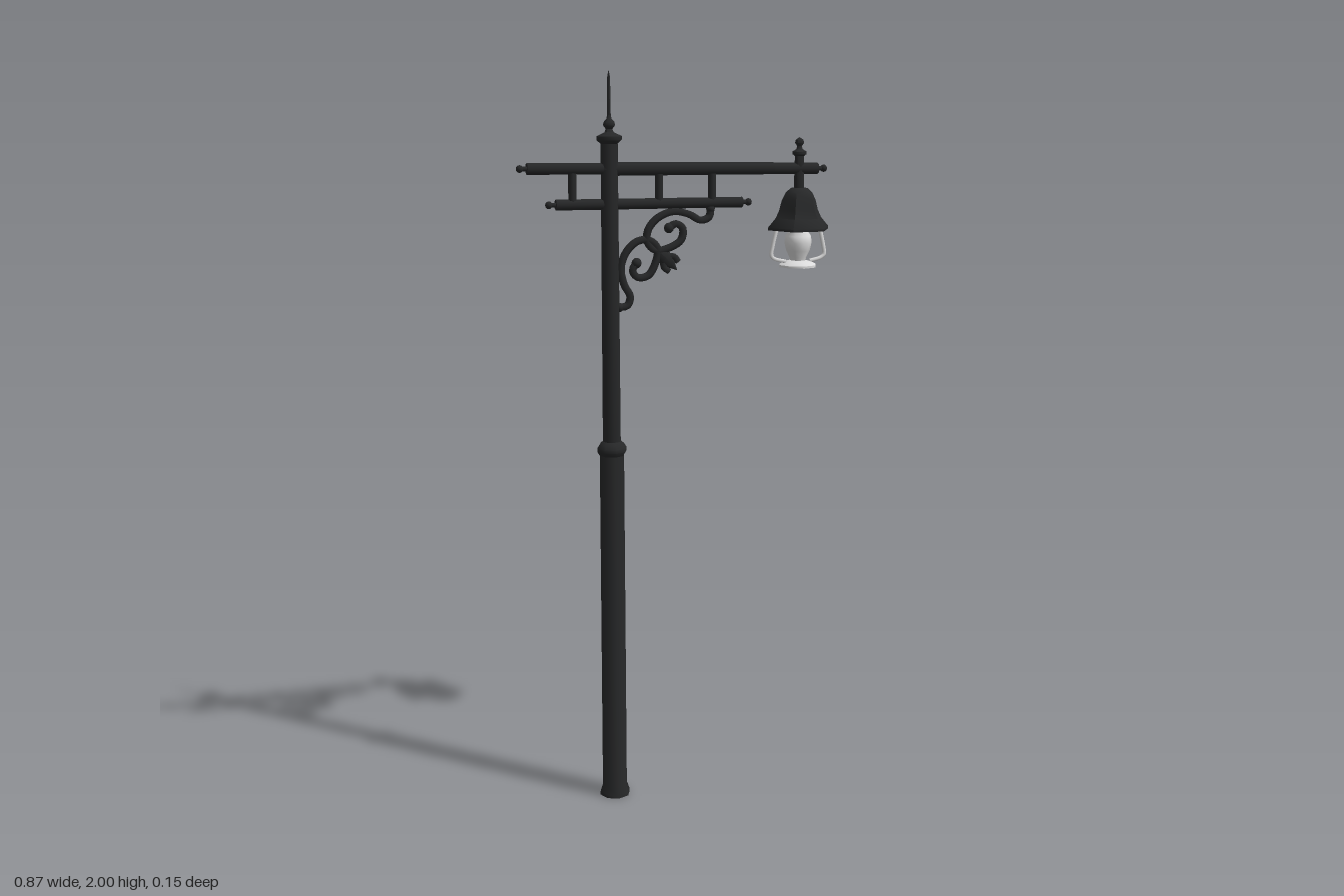
import * as THREE from 'three';
import { toCreasedNormals } from 'three/addons/utils/BufferGeometryUtils.js';

const iron = new THREE.MeshStandardMaterial({ color: 0x262728 });
iron.name = 'dark iron';
const glass = new THREE.MeshStandardMaterial({ color: 0xdcdcdc });
glass.name = 'pale glass';

const POLE_X = -0.185, LAMP_X = 0.345;

function add(parent, name, geometry, material = iron) {
  const mesh = new THREE.Mesh(geometry, material);
  mesh.name = name;
  parent.add(mesh);
  return mesh;
}

// Turned part from [radius, height] pairs, listed bottom to top
function turned(profile, sides, start = 0) {
  const points = profile.map(([r, y]) => new THREE.Vector2(r, y));
  return toCreasedNormals(new THREE.LatheGeometry(points, sides, start), 0.9);
}

// Straight tapered rod between two points
function rod(a, b, ra, rb, sides = 8) {
  const dir = b.clone().sub(a);
  const geo = new THREE.CylinderGeometry(rb, ra, dir.length(), sides);
  geo.applyQuaternion(new THREE.Quaternion().setFromUnitVectors(
    new THREE.Vector3(0, 1, 0), dir.normalize()));
  const mid = a.clone().add(b).multiplyScalar(0.5);
  return geo.translate(mid.x, mid.y, mid.z);
}

const at = (x, y, z = 0) => new THREE.Vector3(x, y, z);

// Crossbar with a small neck and ball at each end
function crossbar(parent, name, a, b, ra, rb) {
  const bar = new THREE.Group();
  bar.name = name;
  parent.add(bar);
  add(bar, 'bar', rod(a, b, ra, rb));
  for (const [end, sign] of [[a, -1], [b, 1]]) {
    add(bar, 'endNeck', rod(end, at(end.x + sign * 0.016, end.y), 0.006, 0.006));
    const ball = add(bar, 'endBall', new THREE.SphereGeometry(0.01, 8, 6));
    ball.position.set(end.x + sign * 0.018, end.y, 0);
  }
}

function buildPole() {
  const pole = new THREE.Group();
  pole.name = 'pole';
  pole.position.x = POLE_X;
  add(pole, 'lowerShaft', turned([[0, 0], [0.043, 0], [0.042, 0.01], [0.035, 0.03],
    [0.034, 0.985]], 8));
  add(pole, 'collar', turned([[0.033, 0.982], [0.041, 0.995], [0.041, 1.004],
    [0.034, 1.015], [0.025, 1.022]], 8));
  add(pole, 'upperShaft', turned([[0.025, 1.01], [0.023, 1.82]], 8));
  add(pole, 'cap', turned([[0.023, 1.812], [0.034, 1.822], [0.034, 1.832],
    [0.02, 1.838], [0.012, 1.842], [0.009, 1.85], [0.016, 1.859], [0.015, 1.867],
    [0.007, 1.876], [0.005, 1.885], [0, 1.885]], 8));
  add(pole, 'spike', turned([[0.005, 1.88], [0.004, 1.98], [0, 2]], 6));
  return pole;
}

function buildArms() {
  const arms = new THREE.Group();
  arms.name = 'arms';
  crossbar(arms, 'upperBar', at(-0.405, 1.752), at(0.398, 1.738), 0.015, 0.015);
  add(arms, 'upperBarSleeve', rod(at(-0.2, 1.748), at(0.27, 1.741), 0.018, 0.016));
  crossbar(arms, 'lowerBar', at(-0.33, 1.658), at(0.182, 1.653), 0.014, 0.014);
  for (const x of [-0.285, -0.05, 0.097])
    add(arms, 'spacer', rod(at(x, 1.655), at(x, 1.745), 0.011, 0.011));
  return arms;
}

// Scrolled bracket, mirrored about the diagonal below the lower bar
function buildBracket() {
  const bracket = new THREE.Group();
  bracket.name = 'scrollBracket';
  bracket.position.set(-0.161, 1.638, 0);
  const scroll = [[0.254, 0.0], [0.25, 0.022], [0.226, 0.03], [0.195, 0.014],
    [0.15, 0.005], [0.108, 0.02], [0.081, 0.05], [0.078, 0.082], [0.1, 0.106],
    [0.14, 0.1], [0.172, 0.08], [0.176, 0.05], [0.157, 0.037], [0.138, 0.048]];
  for (const mirrored of [false, true]) {
    const place = ([u, v]) => mirrored ? at(v, -u) : at(u, -v);
    const curve = new THREE.CatmullRomCurve3(scroll.map(place));
    add(bracket, 'scroll', new THREE.TubeGeometry(curve, 56, 0.0105, 6));
    const tip = add(bracket, 'scrollTip', new THREE.SphereGeometry(0.014, 8, 6));
    tip.position.copy(place(scroll[scroll.length - 1]));
    const foot = add(bracket, 'scrollFoot', new THREE.SphereGeometry(0.0125, 8, 6));
    foot.position.copy(place(scroll[0]));
    // Side petals of the leaf
    const petal = new THREE.CatmullRomCurve3(
      [[0.1, 0.108], [0.128, 0.122], [0.152, 0.124], [0.163, 0.138]].map(place));
    add(bracket, 'sidePetal', new THREE.TubeGeometry(petal, 12, 0.009, 6));
  }
  // Pointed middle leaf on the diagonal
  const leaf = turned([[0, 0], [0.01, 0.008], [0.01, 0.03], [0.02, 0.058],
    [0.014, 0.08], [0, 0.108]], 8);
  leaf.scale(1, 1, 0.65).rotateZ(-Math.PI * 0.75).translate(0.085, -0.085, 0);
  add(bracket, 'middleLeaf', leaf);
  return bracket;
}

function buildLamp() {
  const lamp = new THREE.Group();
  lamp.name = 'lamp';
  lamp.position.x = LAMP_X;
  // Stem through the bar with its finial
  add(lamp, 'stem', turned([[0.015, 1.67], [0.013, 1.772], [0.02, 1.777], [0.02, 1.784],
    [0.009, 1.79], [0.007, 1.798], [0.013, 1.807], [0.011, 1.815], [0, 1.822]], 8));
  // Six-sided bell shade with flared brim
  add(lamp, 'shade', turned([[0, 1.598], [0.058, 1.596], [0.087, 1.575], [0.088, 1.582],
    [0.066, 1.607], [0.056, 1.628], [0.049, 1.655], [0.038, 1.675], [0.025, 1.686],
    [0, 1.69]], 6, Math.PI / 6));
  add(lamp, 'globe', turned([[0.022, 1.6], [0.025, 1.572], [0.035, 1.558], [0.037, 1.54],
    [0.032, 1.518], [0.023, 1.5], [0.02, 1.484]].reverse(), 10), glass);
  add(lamp, 'baseDish', turned([[0, 1.474], [0.053, 1.474], [0.053, 1.48],
    [0.04, 1.487], [0.022, 1.492], [0, 1.492]], 8), glass);
  // Side wires of the lantern frame
  for (const s of [-1, 1]) {
    const wire = new THREE.CatmullRomCurve3([[0.058, 1.597], [0.066, 1.565], [0.074, 1.53],
      [0.077, 1.507], [0.069, 1.498], [0.035, 1.489]].map(([x, y]) => at(s * x, y)));
    add(lamp, 'frameWire', new THREE.TubeGeometry(wire, 24, 0.0055, 6), glass);
  }
  return lamp;
}

export function createModel() {
  const model = new THREE.Group();
  model.name = 'streetLamp';
  model.add(buildPole(), buildArms(), buildBracket(), buildLamp());
  return model;
}
